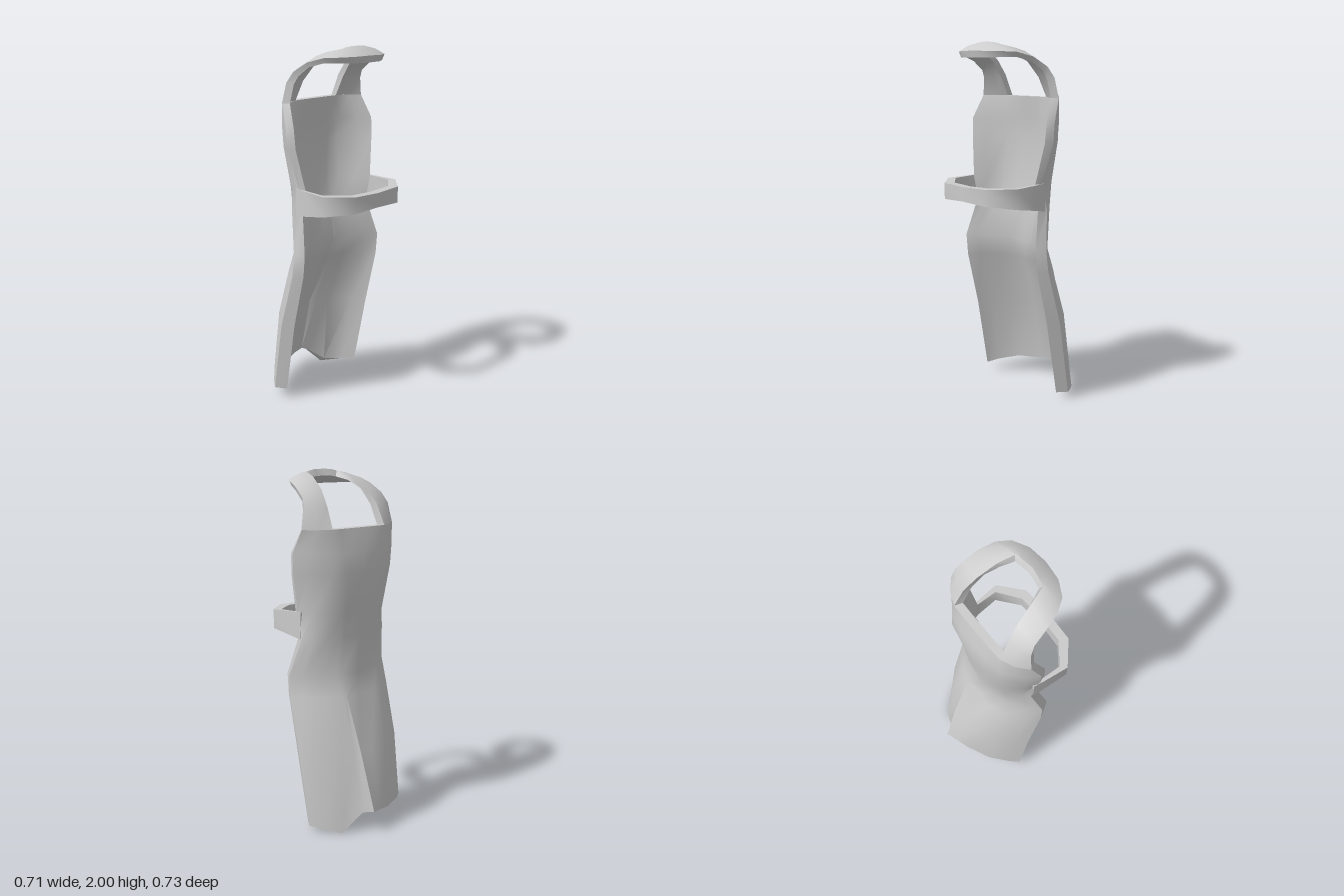
import * as THREE from 'three';
import { toCreasedNormals } from 'three/addons/utils/BufferGeometryUtils.js';

const material = new THREE.MeshStandardMaterial({ color: 0xcccccc });
const lerp = (a, b, t) => a.map((v, i) => v + (b[i] - v) * t);
const flip = ([x, y, z]) => [-x, y, z];

// Skins a series of closed rings and caps both ends; faces always point outward.
function loft(name, rings, crease) {
  const tris = [];
  const quad = (a, b, c, d) => tris.push([a, b, c], [a, c, d]);
  const n = rings[0].length;
  for (let j = 0; j < rings.length - 1; j++) {
    for (let i = 0; i < n; i++) {
      const k = (i + 1) % n;
      quad(rings[j][i], rings[j][k], rings[j + 1][k], rings[j + 1][i]);
    }
  }
  const last = rings[rings.length - 1];
  for (let i = 0; i < n / 2 - 1; i++) {
    const a = n - 1 - i;
    quad(rings[0][i], rings[0][a], rings[0][a - 1], rings[0][i + 1]);
    quad(last[i], last[i + 1], last[a - 1], last[a]);
  }
  let volume = 0;
  for (const t of tris) {
    const [a, b, c] = t.map((p) => new THREE.Vector3(...p));
    volume += a.dot(b.cross(c));
  }
  if (volume < 0) tris.forEach((t) => t.reverse());
  const geometry = new THREE.BufferGeometry();
  geometry.setAttribute('position', new THREE.Float32BufferAttribute(tris.flat(2), 3));
  const mesh = new THREE.Mesh(toCreasedNormals(geometry, crease), material);
  mesh.name = name;
  return mesh;
}

// Closes a row of outer points into a ring with a smoother inner skin and bevelled side edges.
function sheetRing(outer, edgeRight, edgeLeft, thickness) {
  const inner = outer.slice(1, -1).map(([x, y, z]) => [
    x * 0.92, Math.max(y, 0.036), Math.max(z + thickness, -0.28),
  ]);
  return [...outer, edgeLeft, ...inner.reverse(), edgeRight];
}

// Half a row: y, then [x, z] from the middle outward, then the inner side edge.
// The fold pushes one extra point inward on the left.
function bodyRow(y, half, edge, thickness = 0.045, fold = 0) {
  const right = half.map(([x, z]) => [x, y, z]);
  const [fx, fy, fz] = lerp(right[1], right[2], 0.25);
  const outer = [
    ...right.slice(1).reverse().map(flip),
    right[0], right[1], [fx, fy, fz + fold], ...right.slice(2),
  ];
  return sheetRing(outer, [-edge[0], y, edge[1]], [edge[0], y, edge[1]], thickness);
}

function createBody() {
  const rows = [
    bodyRow(1.70, [[0, -0.137], [0.1, -0.137], [0.185, -0.135], [0.265, -0.1], [0.325, -0.045]], [0.3, -0.01]),
    bodyRow(1.57, [[0, -0.168], [0.1, -0.163], [0.2, -0.145], [0.3, -0.07], [0.35, 0.005]], [0.33, 0.045], 0.06),
    bodyRow(1.46, [[0, -0.18], [0.1, -0.173], [0.2, -0.152], [0.3, -0.06], [0.345, 0.008]], [0.325, 0.052], 0.06),
    bodyRow(1.23, [[0, -0.15], [0.1, -0.143], [0.19, -0.115], [0.255, -0.04], [0.29, 0.045]], [0.278, 0.08]),
    bodyRow(1.10, [[0, -0.145], [0.1, -0.133], [0.19, -0.1], [0.255, -0.045], [0.292, 0.005]], [0.275, 0.055], 0.05),
    bodyRow(0.88, [[0, -0.127], [0.1, -0.107], [0.2, -0.062], [0.3, 0.008], [0.345, 0.055]], [0.32, 0.108], 0.065),
    bodyRow(0.76, [[0, -0.138], [0.1, -0.152], [0.2, -0.108], [0.305, -0.03], [0.352, 0.045]], [0.32, 0.098], 0.06),
    bodyRow(0.45, [[0, -0.255], [0.09, -0.266], [0.2, -0.208], [0.31, -0.105], [0.356, -0.04]], [0.32, 0.025], 0.045, 0.016),
    // Uneven hem with one sharp fold
    sheetRing(
      [
        [-0.354, 0.06, -0.1], [-0.31, 0.07, -0.15], [-0.215, 0.095, -0.24], [-0.07, 0.1, -0.31],
        [0, 0.113, -0.335], [0.075, 0.125, -0.363], [0.11, 0.114, -0.305],
        [0.22, 0.001, -0.257], [0.3, 0.02, -0.17], [0.345, 0.034, -0.115],
      ],
      [-0.315, 0.055, -0.04], [0.31, 0.034, -0.056], 0.045,
    ),
  ];
  return loft('apronBody', rows, 0.78);
}

// Broad collar strap running over both shoulders; corners: outer, inner, inner below, outer below.
function createNeckStrap() {
  const half = [
    [[0.325, 1.70, -0.045], [0.185, 1.70, -0.135], [0.17, 1.70, -0.09], [0.3, 1.70, -0.01]],
    [[0.3, 1.81, -0.035], [0.176, 1.82, -0.077], [0.168, 1.81, -0.035], [0.28, 1.80, 0]],
    [[0.283, 1.868, 0], [0.157, 1.903, -0.005], [0.152, 1.895, 0.032], [0.268, 1.843, 0.022]],
    [[0.268, 1.92, 0.085], [0.133, 1.967, 0.1], [0.122, 1.938, 0.108], [0.258, 1.895, 0.09]],
    [[0.24, 1.945, 0.175], [0.107, 1.988, 0.19], [0.092, 1.955, 0.178], [0.228, 1.918, 0.17]],
    [[0.195, 1.948, 0.24], [0.08, 1.995, 0.196], [0.065, 1.96, 0.182], [0.185, 1.917, 0.232]],
    [[0.11, 1.95, 0.285], [0.045, 1.999, 0.203], [0.04, 1.962, 0.186], [0.105, 1.915, 0.277]],
    [[0, 1.952, 0.297], [0, 2, 0.21], [0, 1.963, 0.19], [0, 1.915, 0.29]],
  ];
  // A raised middle line rounds the band across its width.
  const rings = half.map(([o, i, ib, ob], k) => {
    const [dx, dy, dz] = k < 2 ? [0.008, 0, -0.012] : [0, 0.008, 0];
    const bulge = ([x, y, z]) => [x + dx, y + dy, z + dz];
    return [o, bulge(lerp(o, i, 0.5)), i, ib, bulge(lerp(ib, ob, 0.5)), ob];
  });
  const mirrored = rings.slice(0, -1).reverse().map((ring) => ring.map(flip));
  return loft('neckStrap', [...rings, ...mirrored], 0.75);
}

// Waist strap: outer [x, z], inner [x, z], top and bottom heights.
function createWaistStrap() {
  const half = [
    [[0.291, 0.02], [0.268, 0.02], 1.24, 1.085],
    [[0.3, 0.08], [0.282, 0.08], 1.236, 1.095],
    [[0.317, 0.237], [0.284, 0.208], 1.228, 1.118],
    [[0.187, 0.353], [0.16, 0.303], 1.222, 1.13],
    [[0, 0.363], [0, 0.311], 1.218, 1.138],
  ];
  const rings = half.map(([o, i, top, bottom]) => [
    [o[0], top, o[1]], [i[0], top, i[1]], [i[0], bottom, i[1]], [o[0], bottom, o[1]],
  ]);
  const mirrored = rings.slice(0, -1).reverse().map((ring) => ring.map(flip));
  return loft('waistStrap', [...rings, ...mirrored], 1);
}

export function createModel() {
  const group = new THREE.Group();
  group.name = 'apron';
  group.add(createBody(), createNeckStrap(), createWaistStrap());
  return group;
}
